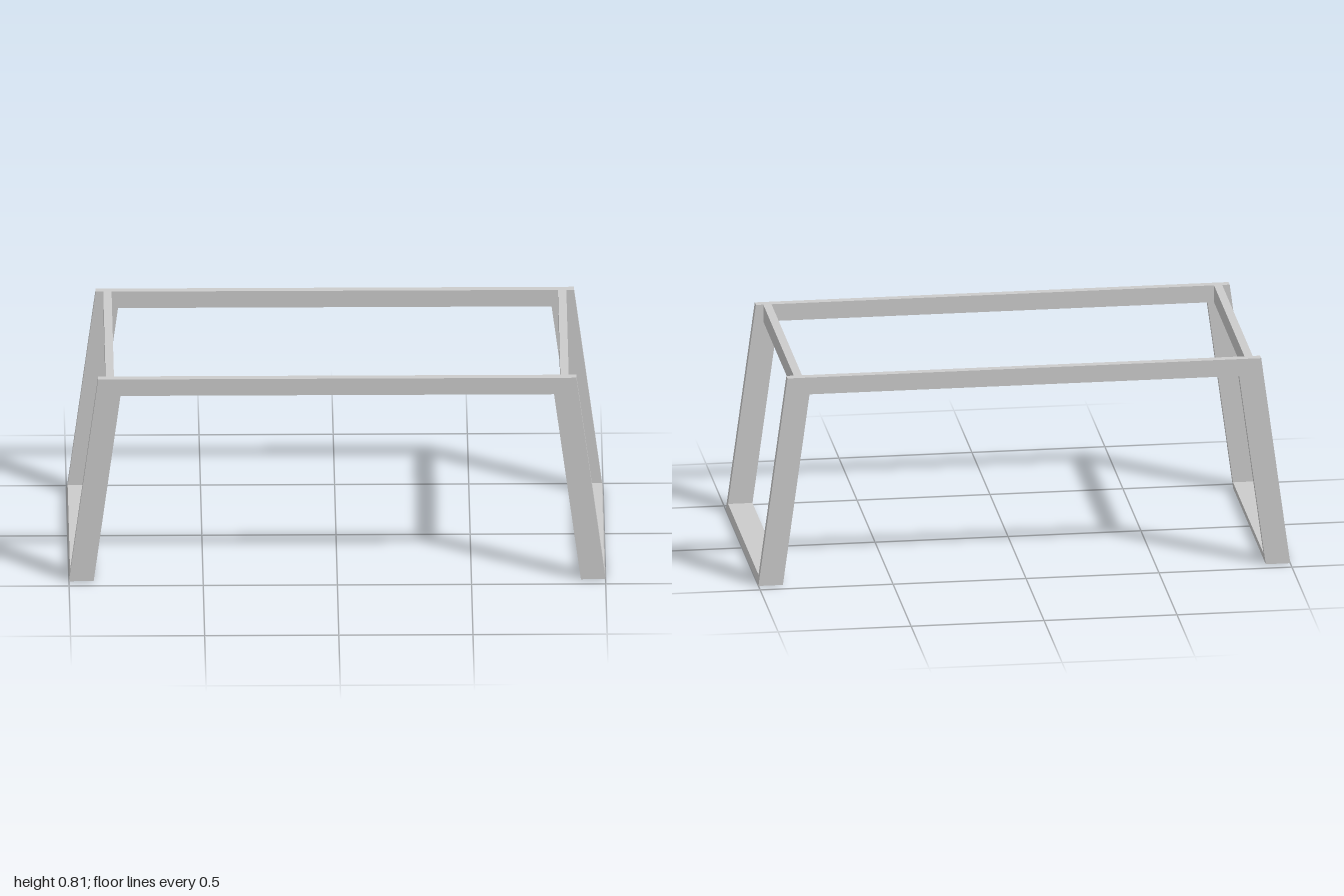
import * as THREE from 'three';

const H = 0.81;          // overall height
const HALF_Z = 0.453;    // outer half depth
const T = 0.031;         // bar thickness
const RAIL_Y = 0.744;    // underside of the top rails
const LEG_W = 0.092;     // leg width
const LEAN = 0.109;      // inward lean of a leg over its full height

// outer and inner x of the leaning legs at height y
const outer = (y) => 1 - LEAN * y / H;
const inner = (y) => outer(y) - LEG_W;

export function createModel() {
  const model = new THREE.Group();
  model.name = 'tableFrame';
  const material = new THREE.MeshStandardMaterial({ color: 0xcccccc, flatShading: true });

  // outline in the xy plane, extruded from z0 to z1
  function bar(name, points, z0, z1) {
    const shape = new THREE.Shape(points.map(([x, y]) => new THREE.Vector2(x, y)));
    const geometry = new THREE.ExtrudeGeometry(shape, { depth: z1 - z0, bevelEnabled: false });
    geometry.translate(0, 0, z0);
    const mesh = new THREE.Mesh(geometry, material);
    mesh.name = name;
    model.add(mesh);
  }

  const innerZ = HALF_Z - T;
  const slanted = (s, y0, y1) => [
    [s * inner(y0), y0], [s * outer(y0), y0], [s * outer(y1), y1], [s * inner(y1), y1],
  ];

  for (const [side, s] of [['left', 1], ['right', -1]]) {
    // leaning legs, front and back
    bar(side + 'FrontLeg', slanted(s, 0, H), innerZ, HALF_Z);
    bar(side + 'BackLeg', slanted(s, 0, H), -HALF_Z, -innerZ);

    // flat foot bar between the legs
    bar(side + 'FootBar', slanted(s, 0, 0.033), -innerZ, innerZ);

    // upright cross rail at the top
    const x0 = s * 0.832, x1 = s * 0.863;
    bar(side + 'CrossRail', [[x0, RAIL_Y], [x1, RAIL_Y], [x1, H], [x0, H]], -innerZ, innerZ);
  }

  // long rails, with ends cut to the lean of the legs
  const rail = [
    [-inner(RAIL_Y), RAIL_Y], [inner(RAIL_Y), RAIL_Y], [inner(H), H], [-inner(H), H],
  ];
  bar('frontRail', rail, innerZ, HALF_Z);
  bar('backRail', rail, -HALF_Z, -innerZ);

  return model;
}
